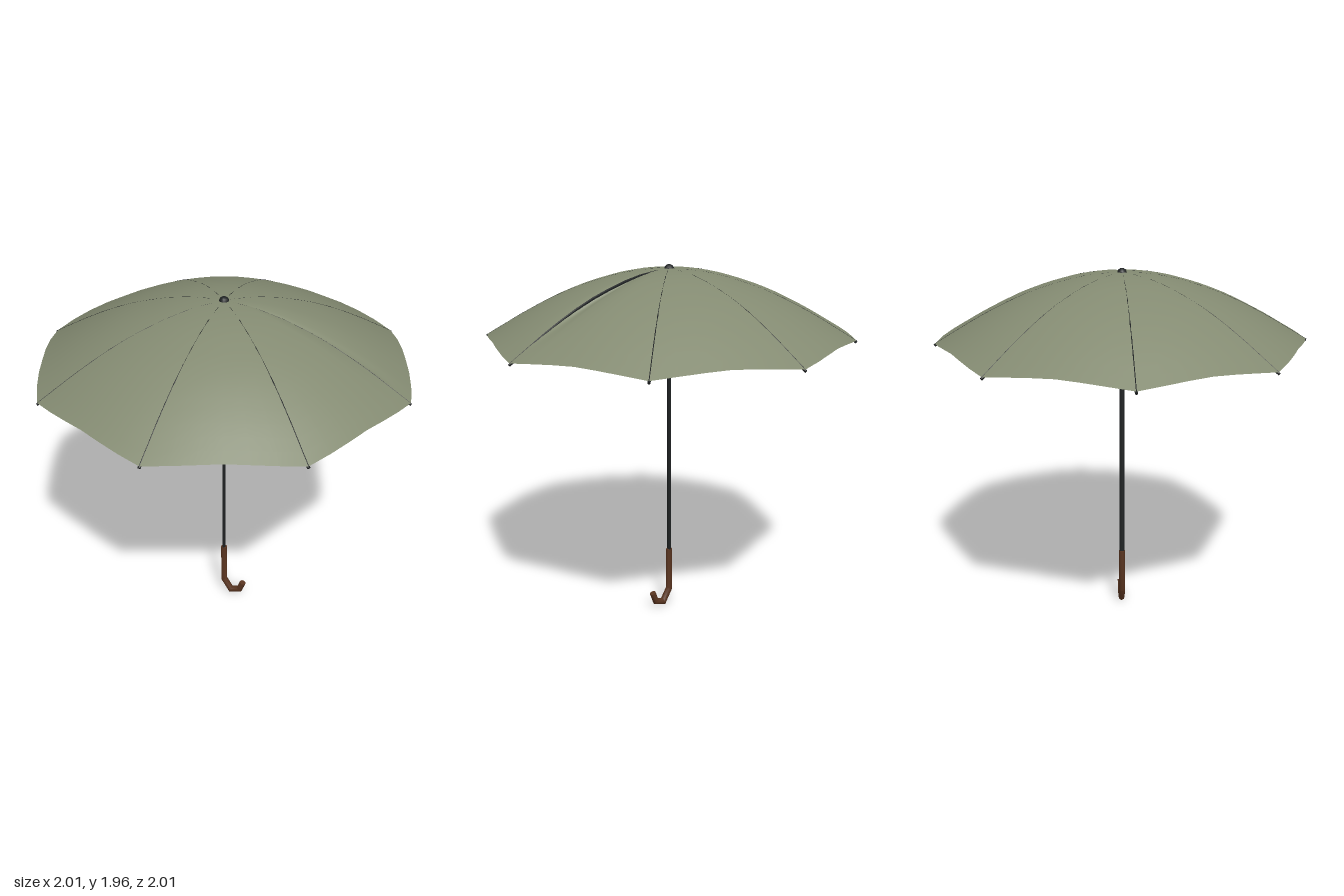
import * as THREE from 'three';
import { toCreasedNormals } from 'three/addons/utils/BufferGeometryUtils.js';

const RIBS = 8;
const cloth = new THREE.MeshStandardMaterial({ color: 0x848b72, side: THREE.DoubleSide });
const metal = new THREE.MeshStandardMaterial({ color: 0x1f2223 });
const wood = new THREE.MeshStandardMaterial({ color: 0x5a3520 });

// Dome profile as [radius, height]
const DOME = [
  [0, 1.95], [0.1, 1.944], [0.2, 1.932], [0.3, 1.91], [0.4, 1.88], [0.5, 1.845],
  [0.6, 1.802], [0.7, 1.752], [0.8, 1.697], [0.9, 1.637], [1, 1.577],
];
function domeHeight(r) {
  const f = Math.min(r, 0.9999) * 10;
  const i = Math.floor(f);
  return THREE.MathUtils.lerp(DOME[i][1], DOME[i + 1][1], f - i);
}

function buildGeometry(positions, index) {
  const g = new THREE.BufferGeometry();
  g.setAttribute('position', new THREE.Float32BufferAttribute(positions, 3));
  g.setIndex(index);
  g.computeVertexNormals();
  return g;
}

// Mitred round bar along a path of [x, y] points, with closed ends
function sweep(path, radius, sides) {
  const pts = path.map(([x, y]) => new THREE.Vector2(x, y));
  const pos = [], index = [];
  const n = pts.length;
  pts.forEach((p, i) => {
    const a = pts[Math.max(i - 1, 0)], b = pts[Math.min(i + 1, n - 1)];
    const d1 = (i ? p.clone().sub(a) : b.clone().sub(p)).normalize();
    const d2 = (i < n - 1 ? b.clone().sub(p) : d1.clone()).normalize();
    const t = d1.clone().add(d2).normalize();
    const miter = 1 / t.dot(d1);
    for (let j = 0; j < sides; j++) {
      const ang = (j / sides) * Math.PI * 2;
      const c = Math.cos(ang) * radius * miter;
      pos.push(p.x - t.y * c, p.y + t.x * c, Math.sin(ang) * radius);
      if (i < n - 1) {
        const k = i * sides, q = (j + 1) % sides;
        index.push(k + j, k + q, k + j + sides, k + q, k + q + sides, k + j + sides);
      }
    }
  });
  const last = (n - 1) * sides;
  for (let j = 1; j < sides - 1; j++) {
    index.push(0, j + 1, j, last, last + j, last + j + 1);
  }
  return toCreasedNormals(buildGeometry(pos, index), 0.85);
}

// Cloth: rim pulled in between the rib tips, one pleat beside the left rib
function canopyGeometry() {
  const angles = [];
  for (let i = 0; i < 48; i++) angles.push(i * 7.5);
  angles.push(355, 357.5, 359);
  const rings = 16, count = angles.length;
  const pos = [0, DOME[0][1], 0], index = [];
  for (let i = 1; i <= rings; i++) {
    angles.forEach((deg, j) => {
      const a = THREE.MathUtils.degToRad(deg);
      const off = Math.abs((deg % 45) - 22.5) / 22.5;
      const rim = 0.948 + 0.05 * Math.pow(off, 1.6);
      const s = i / rings;
      const r = s * rim;
      const back = 360 - deg;
      const pleat = back < 10 && s > 0.1 && s < 0.92
        ? 0.024 * Math.sin((Math.PI * (s - 0.1)) / 0.82) * Math.min(back / 1.5, (10 - back) / 8.5)
        : 0;
      pos.push(r * Math.cos(a), domeHeight(r) - pleat, r * Math.sin(a));
      const q = (j + 1) % count, k = 1 + (i - 1) * count;
      if (i === 1) index.push(0, k + q, k + j);
      else index.push(k - count + j, k + q, k + j, k - count + j, k - count + q, k + q);
    });
  }
  return buildGeometry(pos, index);
}

export function createModel() {
  const group = new THREE.Group();
  const add = (name, geometry, material, parent = group) => {
    const mesh = new THREE.Mesh(geometry, material);
    mesh.name = name;
    parent.add(mesh);
    return mesh;
  };

  add('canopy', canopyGeometry(), cloth);

  // Ribs follow the underside of the dome out to the corners
  const ribs = new THREE.Group();
  ribs.name = 'ribs';
  group.add(ribs);
  const ribGeometry = sweep(DOME.map(([r, y]) => [r, y - 0.008]), 0.008, 6);
  for (let i = 0; i < RIBS; i++) {
    add('rib', ribGeometry, metal, ribs).rotation.y = (i / RIBS) * Math.PI * 2;
  }

  // Shaft is narrower from the front than from the side
  const shaft = add('shaft', new THREE.CylinderGeometry(0.014, 0.014, 1.63, 8), metal);
  shaft.scale.x = 0.6;
  shaft.position.y = 1.125;

  add('topKnob', new THREE.SphereGeometry(0.027, 10, 8), metal).position.y = 1.943;

  // Hooked handle
  const hook = [[0, 0.345], [0, 0.1], [0.045, 0.028], [0.1, 0.045], [0.122, 0.102]];
  add('handle', sweep(hook, 0.018, 8), wood);

  return group;
}
